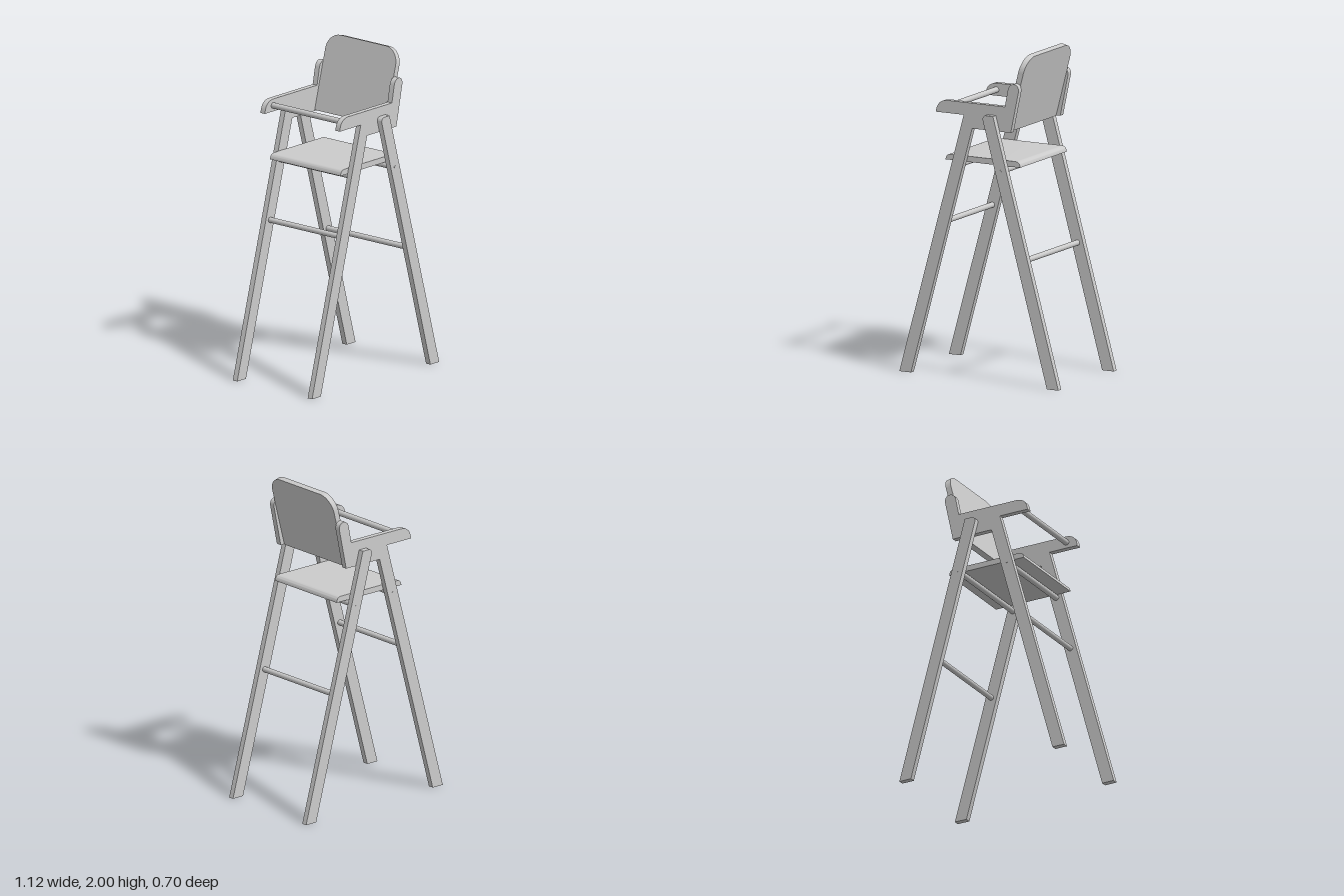
import * as THREE from 'three';
import { toCreasedNormals } from 'three/addons/utils/BufferGeometryUtils.js';

const material = new THREE.MeshStandardMaterial({ color: 0xcccccc });
const BOARD = 0.035; // board thickness
const INNER = 0.28; // inner face of the front legs
const OUTER = INNER + BOARD; // inner face of the rear legs

export function createModel() {
  const group = new THREE.Group();

  const add = (name, geometry) => {
    const mesh = new THREE.Mesh(geometry, material);
    mesh.name = name;
    group.add(mesh);
    return mesh;
  };

  // Board cut from an outline in the xy plane, running from z0 to z0 + depth
  const board = (name, shape, z0, depth) => {
    const geometry = new THREE.ExtrudeGeometry(shape, { depth, bevelEnabled: false, curveSegments: 10 });
    geometry.translate(0, 0, z0);
    return add(name, toCreasedNormals(geometry, 0.6));
  };

  // Round bar along z, centred on z = zc
  const bar = (name, x, y, radius, length, zc = 0) => {
    const geometry = new THREE.CylinderGeometry(radius, radius, length, 24);
    geometry.rotateX(Math.PI / 2);
    add(name, geometry).position.set(x, y, zc);
  };

  // Front leg, armrest and back post in one outline
  const side = new THREE.Shape();
  side.moveTo(-0.56, 0);
  side.lineTo(-0.48, 0);
  side.lineTo(-0.057, 1.535);
  side.lineTo(0.21, 1.535);
  side.lineTo(0.264, 1.79);
  side.bezierCurveTo(0.27, 1.845, 0.2, 1.85, 0.19, 1.795);
  side.lineTo(0.169, 1.69);
  side.lineTo(-0.23, 1.69);
  side.quadraticCurveTo(-0.3, 1.688, -0.307, 1.613);
  side.lineTo(-0.115, 1.613);
  side.closePath();

  // Rear leg with a softened top
  const rear = new THREE.Shape();
  rear.moveTo(0.48, 0);
  rear.lineTo(0.56, 0);
  rear.lineTo(0.107, 1.631);
  rear.lineTo(0.052, 1.631);
  rear.quadraticCurveTo(0.036, 1.622, 0.035, 1.606);
  rear.closePath();

  for (const s of [-1, 1]) {
    const name = s > 0 ? 'left' : 'right';
    board(name + 'SideFrame', side, s > 0 ? INNER : -OUTER, BOARD);
    board(name + 'RearLeg', rear, s > 0 ? OUTER : -OUTER - BOARD, BOARD);
    // Small pins showing on the outer leg faces
    bar(name + 'FrontPin', -0.162, 1.3, 0.008, 0.01, s * (OUTER - 0.004));
    bar(name + 'RearPin', 0.157, 1.3, 0.008, 0.01, s * (OUTER + BOARD - 0.004));
  }

  // Seat with rounded upper edges
  const seat = new THREE.Shape();
  seat.moveTo(-0.26, 1.32);
  seat.lineTo(0.255, 1.32);
  seat.quadraticCurveTo(0.253, 1.355, 0.22, 1.355);
  seat.lineTo(-0.225, 1.355);
  seat.quadraticCurveTo(-0.258, 1.355, -0.26, 1.32);
  board('seat', seat, -INNER, 2 * INNER);

  // Tilted backrest with rounded upper corners
  const w = INNER, h = 0.475, r = 0.1;
  const back = new THREE.Shape();
  back.moveTo(-w, 0);
  back.lineTo(w, 0);
  back.lineTo(w, h - r);
  back.absarc(w - r, h - r, r, 0, Math.PI / 2, false);
  back.lineTo(-w + r, h);
  back.absarc(-w + r, h - r, r, Math.PI / 2, Math.PI, false);
  back.closePath();
  const backrest = board('backrest', back, 0, BOARD);
  backrest.geometry.rotateY(Math.PI / 2);
  backrest.position.set(0.147, 1.541, 0);
  backrest.rotation.z = -0.258;

  // Bars: guard between the armrests, seat supports and rungs
  bar('guardBar', -0.232, 1.65, 0.018, 2 * INNER);
  bar('frontSeatBar', -0.162, 1.3, 0.018, 2 * INNER);
  bar('rearSeatBar', 0.157, 1.3, 0.018, 2 * OUTER);
  bar('frontRung', -0.26, 0.943, 0.017, 2 * INNER);
  bar('rearRung', 0.308, 0.763, 0.017, 2 * OUTER);

  return group;
}
